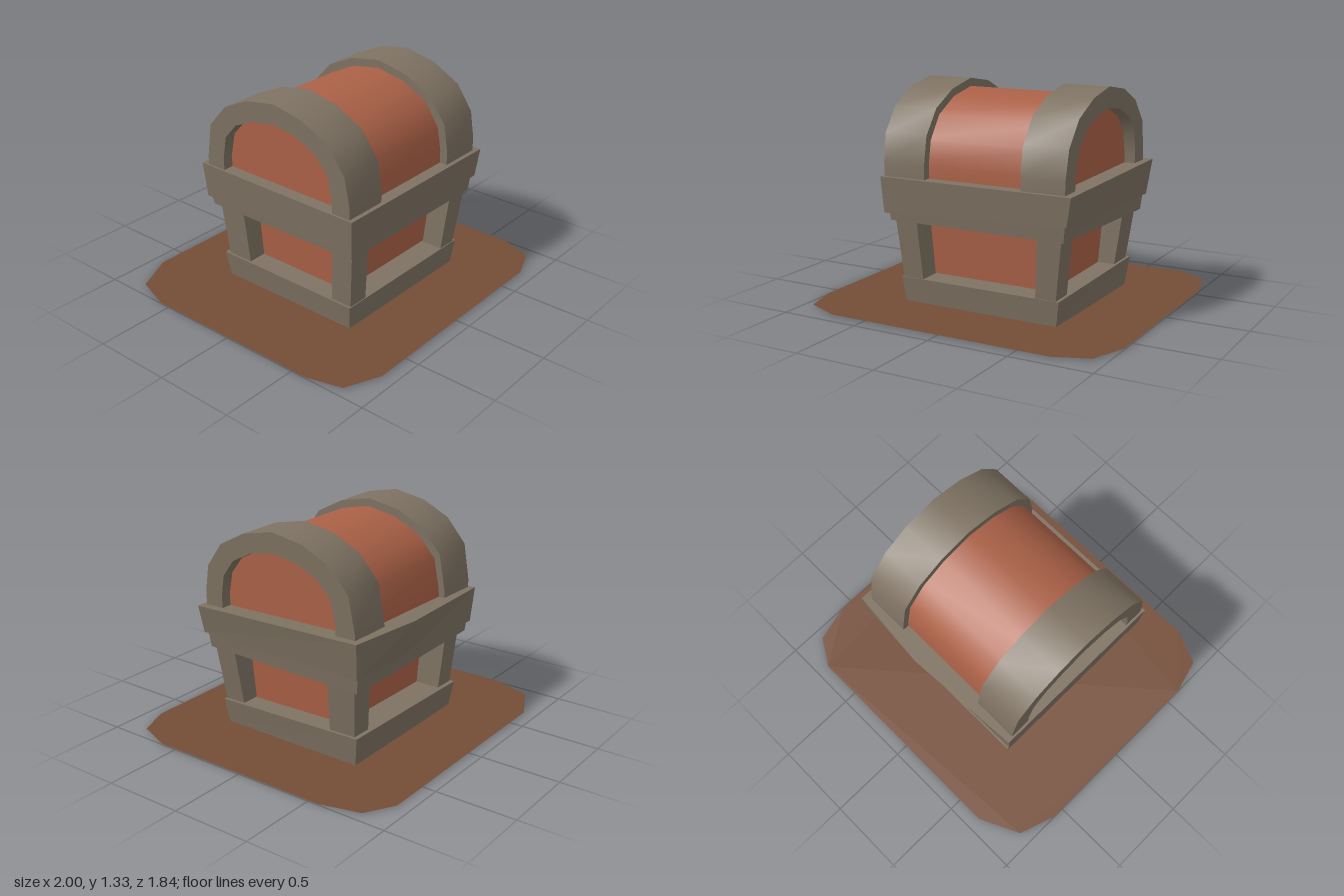
import * as THREE from 'three';
import { toCreasedNormals } from 'three/addons/utils/BufferGeometryUtils.js';

const material = (name, color, side = THREE.FrontSide) => {
  const m = new THREE.MeshStandardMaterial({ color, side });
  m.name = name;
  return m;
};

// Solid between two matching rings of [x, y, z], counter-clockwise from above
function prism(bottom, top, closedBottom = true) {
  const p = [], n = bottom.length;
  const tri = (...v) => v.forEach((c) => p.push(...c));
  for (let i = 0; i < n; i++) {
    const j = (i + 1) % n;
    tri(bottom[i], bottom[j], top[j]);
    tri(bottom[i], top[j], top[i]);
  }
  for (let i = 1; i < n - 1; i++) {
    tri(top[0], top[i], top[i + 1]);
    if (closedBottom) tri(bottom[0], bottom[i + 1], bottom[i]);
  }
  const g = new THREE.BufferGeometry();
  g.setAttribute('position', new THREE.Float32BufferAttribute(p, 3));
  g.computeVertexNormals();
  return g;
}

// Four corners: front -x, front +x, back +x, back -x; one height per corner
function ring(x0, x1, z0, z1, y) {
  const h = Array.isArray(y) ? y : [y, y, y, y];
  return [[x0, h[0], z1], [x1, h[1], z1], [x1, h[2], z0], [x0, h[3], z0]];
}

// Extrude a [z, y] profile along x, rounded over the top with crisp ends
function arch(points, x0, x1) {
  const shape = new THREE.Shape(points.map(([z, y]) => new THREE.Vector2(-z, y)));
  const g = new THREE.ExtrudeGeometry(shape, { depth: x1 - x0, bevelEnabled: false });
  g.rotateY(Math.PI / 2);
  g.translate(x0, 0, 0);
  return g;
}

export function createModel() {
  const chest = new THREE.Group();
  chest.name = 'treasureChest';
  const wood = material('red wood', 0xab6147);
  const metal = material('grey trim', 0x7e7262);
  const earth = material('brown earth', 0x744d37, THREE.DoubleSide);
  const add = (name, geometry, mat) => {
    const mesh = new THREE.Mesh(geometry, mat);
    mesh.name = name;
    chest.add(mesh);
  };

  // Flat patch of ground with clipped corners
  const patch = [[-0.67, -0.92], [0.76, -0.92], [0.935, -0.815], [1, -0.57], [1, 0.61], [0.915, 0.83],
    [0.71, 0.91], [-0.72, 0.915], [-0.94, 0.82], [-1, 0.6], [-1, -0.57], [-0.92, -0.8]];
  const ground = new THREE.ShapeGeometry(new THREE.Shape(patch.map(([x, z]) => new THREE.Vector2(x, -z))));
  ground.rotateX(-Math.PI / 2);
  ground.translate(0, 0.006, 0);
  add('ground', ground, earth);

  // Base rim, open underneath
  add('baseRim', prism(
    ring(-0.485, 0.53, -0.475, 0.49, [0.012, 0.01, 0, 0.01]),
    ring(-0.505, 0.553, -0.5, 0.507, [0.165, 0.163, 0.186, 0.17]), false), metal);

  // Recessed wooden body
  add('body', prism(ring(-0.37, 0.42, -0.31, 0.355, 0.13), ring(-0.39, 0.45, -0.33, 0.375, 0.56)), wood);

  // Corner posts, leaning outwards
  const postX = [[-0.49, -0.355, -0.522, -0.375], [0.4, 0.53, 0.43, 0.582]];
  const postZ = [[0.362, 0.5, 0.388, 0.535], [-0.47, -0.295, -0.503, -0.315]];
  for (const [a, b, c, d] of postX) {
    for (const [e, f, g, h] of postZ) {
      add('cornerPost', prism(ring(a, b, e, f, 0.15), ring(c, d, g, h, 0.54)), metal);
    }
  }

  // Lower band under the lid
  add('lowerBand', prism(
    ring(-0.545, 0.6, -0.537, 0.55, [0.52, 0.518, 0.493, 0.515]),
    ring(-0.555, 0.615, -0.548, 0.56, 0.63)), metal);

  // Upper band, with a slight bulge along the back
  const low = ring(-0.575, 0.63, -0.555, 0.575, [0.565, 0.615, 0.592, 0.575]);
  const high = ring(-0.59, 0.662, -0.573, 0.587, [0.785, 0.788, 0.815, 0.795]);
  low.splice(3, 0, [0.15, 0.592, -0.56]);
  high.splice(3, 0, [0.15, 0.81, -0.618]);
  add('upperBand', prism(low, high), metal);

  // Lid profiles as [z, y]
  const outer = [[0.56, 0.76], [0.56, 0.87], [0.53, 1.04], [0.42, 1.19], [0.24, 1.285], [0.03, 1.33],
    [-0.18, 1.295], [-0.36, 1.21], [-0.49, 1.065], [-0.53, 0.85], [-0.535, 0.76]];
  const inner = [[0.435, 0.76], [0.435, 0.87], [0.41, 1.0], [0.33, 1.105], [0.195, 1.175], [0.03, 1.205],
    [-0.135, 1.18], [-0.28, 1.115], [-0.37, 1.015], [-0.4, 0.87], [-0.4, 0.76]];
  const middle = [[0.51, 0.76], [0.51, 0.87], [0.485, 1.01], [0.39, 1.15], [0.225, 1.24], [0.03, 1.28],
    [-0.165, 1.247], [-0.335, 1.165], [-0.453, 1.035], [-0.49, 0.85], [-0.495, 0.76]];
  add('lid', toCreasedNormals(arch(middle, -0.51, 0.545), 0.6), wood);

  // Arched lid bands, their outer ends flaring towards the top
  for (const [x0, x1, side] of [[-0.575, -0.297, -1], [0.338, 0.612, 1]]) {
    const g = arch([...outer, ...inner.reverse()], x0, x1);
    inner.reverse();
    const p = g.attributes.position;
    for (let i = 0; i < p.count; i++) {
      if (p.getX(i) * side > 0.5) p.setX(i, p.getX(i) + side * 0.017 * (p.getY(i) - 0.76) / 0.57);
    }
    add('lidBand', toCreasedNormals(g, 0.6), metal);
  }
  return chest;
}
